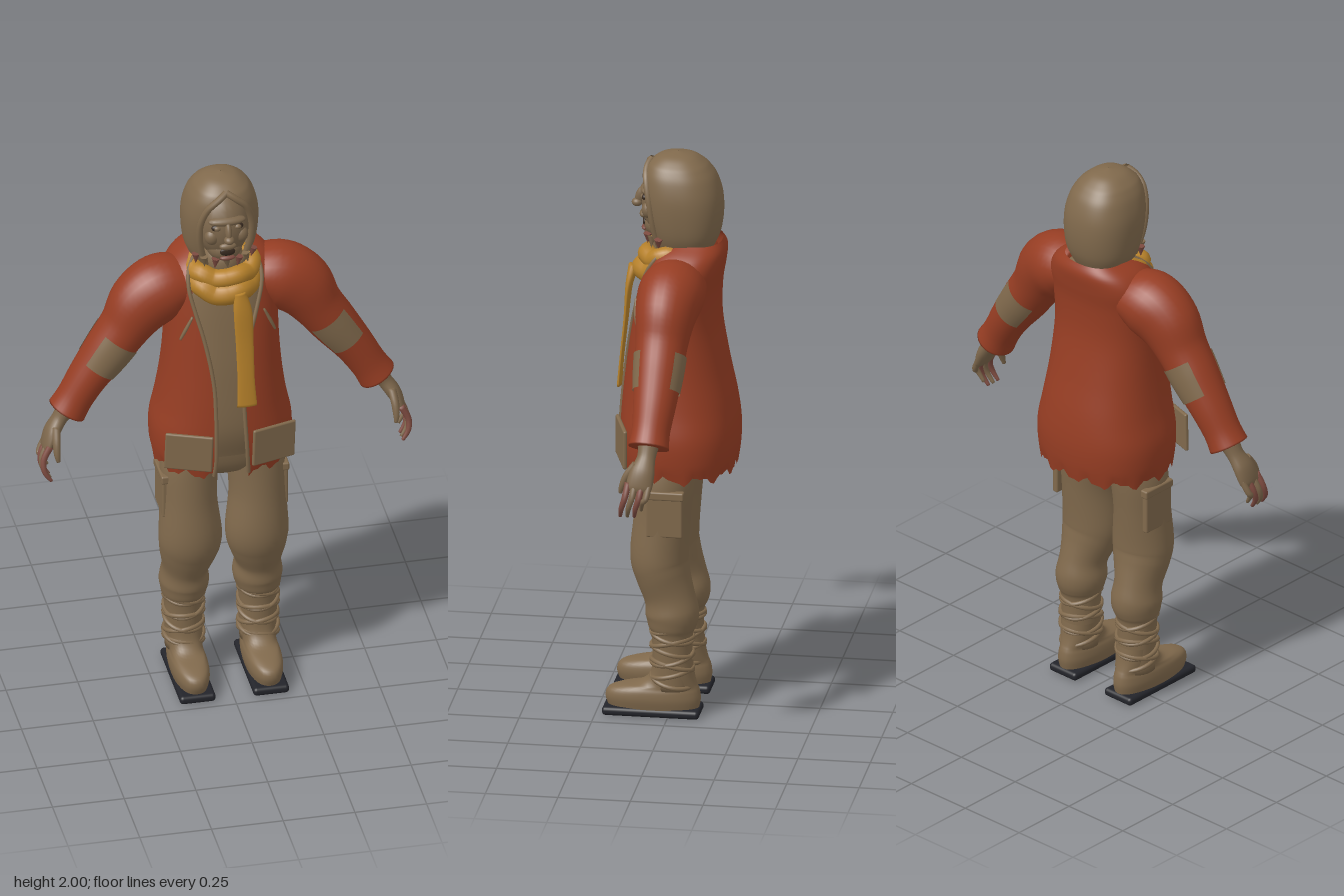
import * as THREE from 'three';
import { mergeVertices } from 'three/addons/utils/BufferGeometryUtils.js';
import { RoundedBoxGeometry } from 'three/addons/geometries/RoundedBoxGeometry.js';

const material = (name, color) => Object.assign(new THREE.MeshStandardMaterial({ color }), { name });
const doubled = (m) => Object.assign(m, { side: THREE.DoubleSide });

// Smooth interpolation through a table of rows, column by column
function sample(rows, t) {
  const n = rows.length - 1, f = Math.min(t, 0.99999) * n, i = Math.floor(f), u = f - i;
  const [a, b, c, d] = [-1, 0, 1, 2].map((k) => rows[Math.min(n, Math.max(0, i + k))]);
  return b.map((_, k) => b[k] + 0.5 * u * (c[k] - a[k] + u * (2 * a[k] - 5 * b[k] + 4 * c[k] - d[k]
    + u * (3 * (b[k] - c[k]) + d[k] - a[k]))));
}

// Surface from a grid of points: rows of equal length
function skin(grid) {
  const pos = [], index = [], w = grid[0].length;
  grid.forEach((row) => row.forEach((p) => pos.push(p.x, p.y, p.z)));
  for (let i = 0; i < grid.length - 1; i++) {
    for (let j = 0; j < w - 1; j++) {
      const a = i * w + j, d = a + w;
      index.push(a, a + 1, d, a + 1, d + 1, d);
    }
  }
  let g = new THREE.BufferGeometry();
  g.setAttribute('position', new THREE.Float32BufferAttribute(pos, 3));
  g.setIndex(index);
  g = mergeVertices(g, 1e-5);
  g.computeVertexNormals();
  return g;
}

// Tapered limb through points [x, y, z, radius, depth radius]
function limb(pts, { n = 28, seg = 20, t0 = 0, t1 = 1, a0 = 0, a1 = Math.PI * 2, grow = 0, cap = true } = {}) {
  const grid = [], Z = new THREE.Vector3(0, 0, 1);
  const at = (t) => sample(pts, Math.min(1, Math.max(0, t)));
  const ring = (t, k) => {
    const [x, y, z, r, rz] = at(t), p = at(t - 0.01), q = at(t + 0.01);
    const T = new THREE.Vector3(q[0] - p[0], q[1] - p[1], q[2] - p[2]).normalize();
    const S = T.clone().cross(Z).normalize(), B = T.clone().cross(S);
    return Array.from({ length: seg + 1 }, (_, j) => {
      const a = a0 + (a1 - a0) * j / seg;
      return new THREE.Vector3(x, y, z).addScaledVector(S, k * (r + grow) * Math.cos(a))
        .addScaledVector(B, k * (rz + grow) * Math.sin(a));
    });
  };
  if (cap) grid.push(ring(t0, 0));
  for (let i = 0; i <= n; i++) grid.push(ring(t0 + (t1 - t0) * i / n, 1));
  if (cap) grid.push(ring(t1, 0));
  return skin(grid);
}

// Upright shell from rows [y, half width, front z, back z, gap at -x, gap at +x]
const POW = 0.86;
const bend = (v) => Math.sign(v) * Math.abs(v) ** POW;
const gapAngle = (gap, rx) => (gap > 0 ? Math.asin(Math.min(1, (gap / rx) ** (1 / POW))) : 0);
const onShell = ([y, rx, zf, zb], a) =>
  new THREE.Vector3(rx * bend(Math.sin(a)), y, (zf + zb) / 2 + (zf - zb) / 2 * bend(Math.cos(a)));
function shell(rows, n = 36, seg = 56) {
  const grid = [];
  for (let i = 0; i <= n; i++) {
    const r = sample(rows, i / n), a0 = gapAngle(r[5] ?? 0, r[1]), a1 = Math.PI * 2 - gapAngle(r[4] ?? 0, r[1]);
    grid.push(Array.from({ length: seg + 1 }, (_, j) => onShell(r, a0 + (a1 - a0) * j / seg)));
  }
  return skin(grid);
}
// Bead that follows one edge of a shell's front gap
function shellEdge(rows, side, radius) {
  const pts = Array.from({ length: 20 }, (_, i) => {
    const r = sample(rows, i / 19);
    return onShell(r, side * gapAngle(side > 0 ? r[5] : r[4], r[1]));
  });
  return new THREE.TubeGeometry(new THREE.CatmullRomCurve3(pts), 50, radius, 8);
}

export function createModel() {
  const root = new THREE.Group();
  root.name = 'coatedFigure';
  const cloth = doubled(material('brownCloth', 0x80694c));
  const skinTone = material('skin', 0x7c664b);
  const coat = doubled(material('rustCoat', 0x963d23));
  const yellow = material('ochreScarf', 0xb5802a);
  const black = material('blackSole', 0x23242a);
  const pink = material('rawSkin', 0x7d4b40);
  const dark = material('darkMouth', 0x37291f);

  const add = (name, geo, mat, p = [0, 0, 0], r = [0, 0, 0], s = [1, 1, 1]) => {
    const m = new THREE.Mesh(geo, mat);
    m.name = name;
    m.position.set(...p);
    m.rotation.set(...r);
    m.scale.set(...s);
    root.add(m);
    return m;
  };
  const ball = (name, mat, p, s, r) => add(name, new THREE.SphereGeometry(1, 20, 14), mat, p, r, s);

  // Coat with an open front and a ragged hem
  const coatRows = [
    [0.88, 0.232, 0.168, -0.212, 0.06, 0.06], [0.94, 0.242, 0.178, -0.222, 0.055, 0.055],
    [1.02, 0.242, 0.182, -0.224, 0.055, 0.05], [1.12, 0.222, 0.176, -0.212, 0.055, 0.045],
    [1.25, 0.205, 0.162, -0.185, 0.06, 0.045], [1.4, 0.196, 0.142, -0.16, 0.085, 0.07],
    [1.52, 0.2, 0.12, -0.16, 0.115, 0.105], [1.6, 0.2, 0.1, -0.172, 0.13, 0.125],
    [1.655, 0.165, 0.07, -0.178, 0.12, 0.12], [1.69, 0.11, 0.02, -0.165, 0.085, 0.085],
  ];
  const coatGeo = shell(coatRows, 44, 80), cp = coatGeo.attributes.position;
  for (let i = 0; i < cp.count; i++) {
    const a = Math.atan2(cp.getX(i), cp.getZ(i)), k = Math.max(0, 1 - (cp.getY(i) - 0.88) / 0.05);
    cp.setY(i, cp.getY(i) + k * (0.012 * Math.sin(a * 13) + 0.007 * Math.sin(a * 29 + 1)));
  }
  coatGeo.computeVertexNormals();
  add('coat', coatGeo, coat);
  add('coatEdgeRight', shellEdge(coatRows, -1, 0.007), cloth);
  add('coatEdgeLeft', shellEdge(coatRows, 1, 0.007), cloth);

  // Shirt and hips under the coat
  add('shirt', shell([
    [0.93, 0.18, 0.13, -0.1], [1.05, 0.2, 0.158, -0.17], [1.25, 0.18, 0.15, -0.16],
    [1.4, 0.172, 0.132, -0.14], [1.52, 0.172, 0.112, -0.14], [1.6, 0.16, 0.09, -0.15], [1.66, 0.08, 0.05, -0.1],
  ]), cloth);
  add('hips', shell([
    [0.815, 0.01, 0.05, -0.03], [0.84, 0.12, 0.09, -0.07], [0.89, 0.2, 0.115, -0.1], [0.98, 0.2, 0.13, -0.13],
  ], 14), cloth);

  // Scarf: lumpy loop with one hanging tail
  const loop = (y, rx, rz, dip) => new THREE.CatmullRomCurve3(Array.from({ length: 14 }, (_, i) => {
    const a = i / 14 * Math.PI * 2;
    return new THREE.Vector3(rx * Math.sin(a), y - dip * Math.cos(a) + 0.006 * Math.sin(a * 5),
      0.02 + (rz + 0.005 * Math.sin(a * 4)) * Math.cos(a));
  }), true);
  add('scarfUpper', new THREE.TubeGeometry(loop(1.645, 0.1, 0.07, 0.018), 70, 0.034, 14, true), yellow);
  add('scarfLower', new THREE.TubeGeometry(loop(1.61, 0.095, 0.085, 0.035), 70, 0.041, 14, true), yellow);
  add('scarfTail', limb([
    [0.035, 1.59, 0.135, 0.02, 0.02], [0.043, 1.52, 0.152, 0.032, 0.012], [0.047, 1.4, 0.162, 0.031, 0.008],
    [0.049, 1.26, 0.176, 0.03, 0.007], [0.051, 1.16, 0.184, 0.035, 0.008],
  ]), yellow);

  // Hood with its face opening
  const hoodRows = [
    [1.655, 0.095, 0.055, -0.13, 0.06, 0.06], [1.71, 0.12, 0.075, -0.155, 0.078, 0.078],
    [1.78, 0.13, 0.095, -0.166, 0.09, 0.09], [1.85, 0.13, 0.105, -0.163, 0.088, 0.088],
    [1.91, 0.117, 0.105, -0.145, 0.066, 0.066], [1.945, 0.1, 0.095, -0.122, 0.03, 0.03],
    [1.965, 0.083, 0.08, -0.102, 0, 0], [1.988, 0.05, 0.045, -0.066, 0, 0], [2, 0.001, -0.01, -0.012, 0, 0],
  ];
  add('hood', shell(hoodRows), cloth);
  const rim = hoodRows.slice(0, 7);
  add('hoodRimRight', shellEdge(rim, -1, 0.012), cloth);
  add('hoodRimLeft', shellEdge(rim, 1, 0.012), cloth);

  // Face
  ball('face', skinTone, [0, 1.815, 0.02], [0.095, 0.13, 0.095]);
  ball('jaw', skinTone, [0, 1.735, 0.045], [0.062, 0.052, 0.062]);
  ball('brow', skinTone, [0, 1.862, 0.092], [0.066, 0.017, 0.026]);
  ball('noseBridge', skinTone, [0, 1.832, 0.118], [0.012, 0.035, 0.018], [-0.35, 0, 0]);
  ball('noseTip', skinTone, [0, 1.805, 0.131], [0.018, 0.015, 0.019]);
  ball('upperLip', skinTone, [0, 1.767, 0.107], [0.03, 0.014, 0.015]);
  ball('mouth', dark, [0, 1.742, 0.103], [0.027, 0.016, 0.008]);
  ball('lowerLip', pink, [0, 1.718, 0.103], [0.027, 0.009, 0.012]);
  ball('neck', cloth, [0, 1.66, 0], [0.075, 0.08, 0.08]);
  for (let i = 0; i < 7; i++) {
    const a = (i - 3) * 0.38;
    add('tornHoodEdge', new THREE.ConeGeometry(0.015, 0.04, 6), i % 2 ? cloth : pink,
      [0.108 * Math.sin(a), 1.69, 0.005 + 0.09 * Math.cos(a)], [0, 0, Math.PI + 0.3 * Math.sin(i * 3)]);
  }

  for (const s of [1, -1]) {
    const side = s > 0 ? 'left' : 'right';
    const flip = (rows) => rows.map(([x, ...rest]) => [x * s, ...rest]);

    ball(side + 'EyeSocket', dark, [0.036 * s, 1.84, 0.098], [0.02, 0.012, 0.012]);
    ball(side + 'Eye', skinTone, [0.036 * s, 1.84, 0.103], [0.013, 0.01, 0.011]);
    ball(side + 'Cheek', skinTone, [0.05 * s, 1.797, 0.083], [0.026, 0.03, 0.025]);

    // Sleeve, cuff and elbow patches
    const sleeve = flip([
      [0.11, 1.57, -0.03, 0.08, 0.1], [0.2, 1.555, -0.02, 0.115, 0.115], [0.275, 1.505, -0.01, 0.115, 0.105],
      [0.335, 1.42, -0.005, 0.09, 0.09], [0.395, 1.335, -0.003, 0.082, 0.084], [0.46, 1.245, 0, 0.07, 0.074],
      [0.51, 1.165, 0.005, 0.064, 0.066], [0.54, 1.115, 0.008, 0.068, 0.07],
    ]);
    add(side + 'Sleeve', limb(sleeve, { n: 40, seg: 28 }), coat);
    for (const c of [-1, 1]) {
      add(side + 'ElbowPatch', limb(sleeve, {
        n: 10, seg: 12, t0: 0.49, t1: 0.66, a0: c * Math.PI / 2 - 0.85, a1: c * Math.PI / 2 + 0.85, grow: 0.004, cap: false,
      }), cloth);
    }

    // Hand with curled fingers
    add(side + 'Hand', limb(flip([
      [0.535, 1.135, 0.008, 0.038, 0.04], [0.565, 1.09, 0.012, 0.027, 0.032], [0.595, 1.045, 0.022, 0.026, 0.043],
      [0.615, 1.0, 0.03, 0.018, 0.045], [0.622, 0.982, 0.032, 0.009, 0.035],
    ])), skinTone);
    for (let f = 0; f < 4; f++) {
      const z = -0.004 + f * 0.024, d = f === 0 ? 0.025 : 0;
      add(side + 'Finger', limb(flip([
        [0.611, 1.01, z, 0.012, 0.012], [0.635, 0.965, z + 0.008, 0.011, 0.011],
        [0.634, 0.925 + d, z + 0.02, 0.0095, 0.0095], [0.612, 0.89 + d, z + 0.027, 0.006, 0.006],
      ]), { n: 12, seg: 10 }), f % 2 ? pink : skinTone);
    }
    add(side + 'Thumb', limb(flip([
      [0.585, 1.07, 0.045, 0.015, 0.015], [0.59, 1.03, 0.075, 0.014, 0.014],
      [0.591, 0.99, 0.092, 0.011, 0.011], [0.588, 0.965, 0.098, 0.006, 0.006],
    ]), { n: 12, seg: 10 }), skinTone);

    // Coat pocket and chest slit
    add(side + 'CoatPocket', new RoundedBoxGeometry(0.165, 0.14, 0.014, 2, 0.006), cloth,
      [0.148 * s, 0.985, 0.163], [0, 0.32 * s, -0.04]);
    add(side + 'ChestSlit', limb(flip([
      [0.125, 1.5, 0.115, 0.004, 0.006], [0.148, 1.45, 0.112, 0.006, 0.008], [0.165, 1.41, 0.105, 0.004, 0.006],
    ]), { n: 8, seg: 8 }), cloth);

    // Trouser leg
    add(side + 'Leg', limb(flip([
      [0.1, 0.95, 0.01, 0.09, 0.1], [0.116, 0.84, 0.015, 0.1, 0.1], [0.12, 0.72, 0.025, 0.098, 0.098],
      [0.116, 0.58, 0.036, 0.109, 0.1], [0.12, 0.51, 0.024, 0.101, 0.094], [0.127, 0.43, 0, 0.08, 0.087],
      [0.128, 0.37, -0.01, 0.086, 0.092], [0.13, 0.325, -0.01, 0.078, 0.083],
      [0.13, 0.28, -0.01, 0.067, 0.07], [0.13, 0.1, -0.012, 0.063, 0.068],
    ]), { n: 50, seg: 28 }), cloth);
    add(side + 'ThighPocket', new RoundedBoxGeometry(0.022, 0.15, 0.125, 2, 0.006), cloth, [0.208 * s, 0.745, 0.005]);
    add(side + 'ThighPocketFlap', new RoundedBoxGeometry(0.03, 0.03, 0.135, 2, 0.006), cloth, [0.208 * s, 0.82, 0.005]);

    // Wrapped shin straps
    for (let i = 0; i < 8; i++) {
      add(side + 'ShinStrap', new THREE.TorusGeometry(0.07, 0.008, 8, 32), cloth, [0.13 * s, 0.13 + i * 0.027, -0.01],
        [Math.PI / 2 + (i % 2 ? 0.24 : -0.24), (i % 3 - 1) * 0.16, 0], [0.97, 1.04, 1]);
    }

    // Boot and sole
    add(side + 'Boot', shell([
      [0.028, 0.058, 0.21, -0.102], [0.06, 0.064, 0.22, -0.108], [0.088, 0.062, 0.21, -0.105],
      [0.104, 0.057, 0.17, -0.1], [0.118, 0.057, 0.1, -0.094], [0.15, 0.061, 0.066, -0.086], [0.2, 0.064, 0.056, -0.08],
    ], 24, 36), cloth, [0.128 * s, 0, 0]);
    add(side + 'Sole', new RoundedBoxGeometry(0.125, 0.03, 0.335, 3, 0.013), black, [0.128 * s, 0.017, 0.058]);
    for (const [z, l] of [[0.13, 0.045], [-0.03, 0.032]]) {
      add(side + 'SolePad', new THREE.CylinderGeometry(1, 1, 0.004, 20), cloth, [0.128 * s, 0.002, z], [0, 0, 0], [0.03, 1, l]);
    }
  }
  return root;
}
